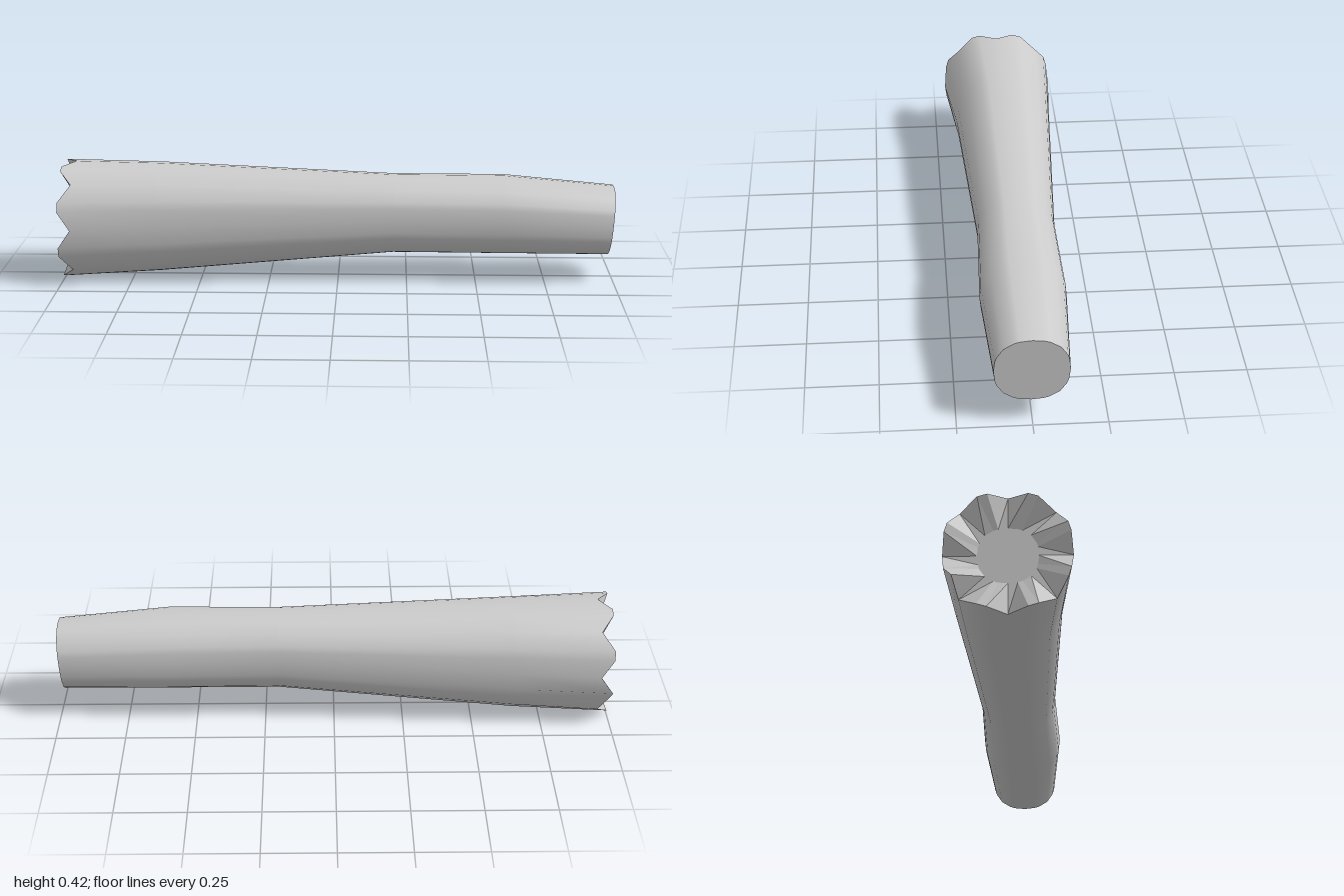
import * as THREE from 'three';

const DEG = Math.PI / 180;
// Three points per 45 degrees: notch root and the two corners of a tooth tip
const ANGLES = [];
for (let k = 0; k < 8; k++) for (const d of [0, 18, 27]) ANGLES.push((k * 45 + d) * DEG);
const N = ANGLES.length;

// Slightly squared oval cross-section; shift(j, y) moves each point along x
function ring(x, cy, cz, ry, rz, shift = () => 0) {
  return ANGLES.map((a, j) => {
    const s = 1 + 0.05 * Math.sin(2 * a) ** 2;
    const dy = ry * s * Math.sin(a);
    return new THREE.Vector3(x + shift(j, dy), cy + dy, cz + rz * s * Math.cos(a));
  });
}

// Skin a row of rings; rings run towards +x for outward faces
function loft(rings) {
  const index = [];
  for (let i = 0; i < rings.length - 1; i++) {
    for (let j = 0; j < N; j++) {
      const k = (j + 1) % N;
      const a = i * N + j, b = i * N + k, c = a + N, d = b + N;
      index.push(a, c, b, b, c, d);
    }
  }
  const geo = new THREE.BufferGeometry().setFromPoints(rings.flat());
  geo.setIndex(index);
  geo.computeVertexNormals();
  return geo;
}

export function createModel() {
  const group = new THREE.Group();
  const add = (name, geo, flatShading) => {
    const mat = new THREE.MeshStandardMaterial({ color: 0xcccccc, flatShading, side: THREE.DoubleSide });
    const mesh = new THREE.Mesh(geo, mat);
    mesh.name = name;
    group.add(mesh);
  };

  // Wide end: notch roots sit back from the tooth tips, one tip is chipped
  const rim = ring(-1, 0.212, 0, 0.211, 0.211, j => (j % 3 === 0 ? 0.045 : 0));
  rim[14].y = 0.212 + (rim[14].y - 0.212) * 0.9;
  rim[14].z *= 0.92;

  // Narrow end, cut at a slight slant
  const tip = ring(0.99, 0.217, 0.003, 0.125, 0.125, (j, dy) => 0.08 * dy);

  add('shaft', loft([
    rim,
    ring(-0.65, 0.2175, -0.007, 0.1975, 0.183),
    ring(0.2, 0.237, 0, 0.142, 0.138),
    ring(0.6, 0.2365, 0.004, 0.1415, 0.148),
    tip,
  ]), false);

  // Teeth slope inward to a recessed flat floor
  const floor = ring(-0.955, 0.212, 0, 0.1, 0.1);
  const center = ring(-0.955, 0.212, 0, 0, 0);
  add('notchedEnd', loft([center, floor, rim]), true);

  // Flat cap on the narrow end
  add('endCap', loft([tip, ring(0.99, 0.217, 0.003, 0, 0)]), true);

  return group;
}
